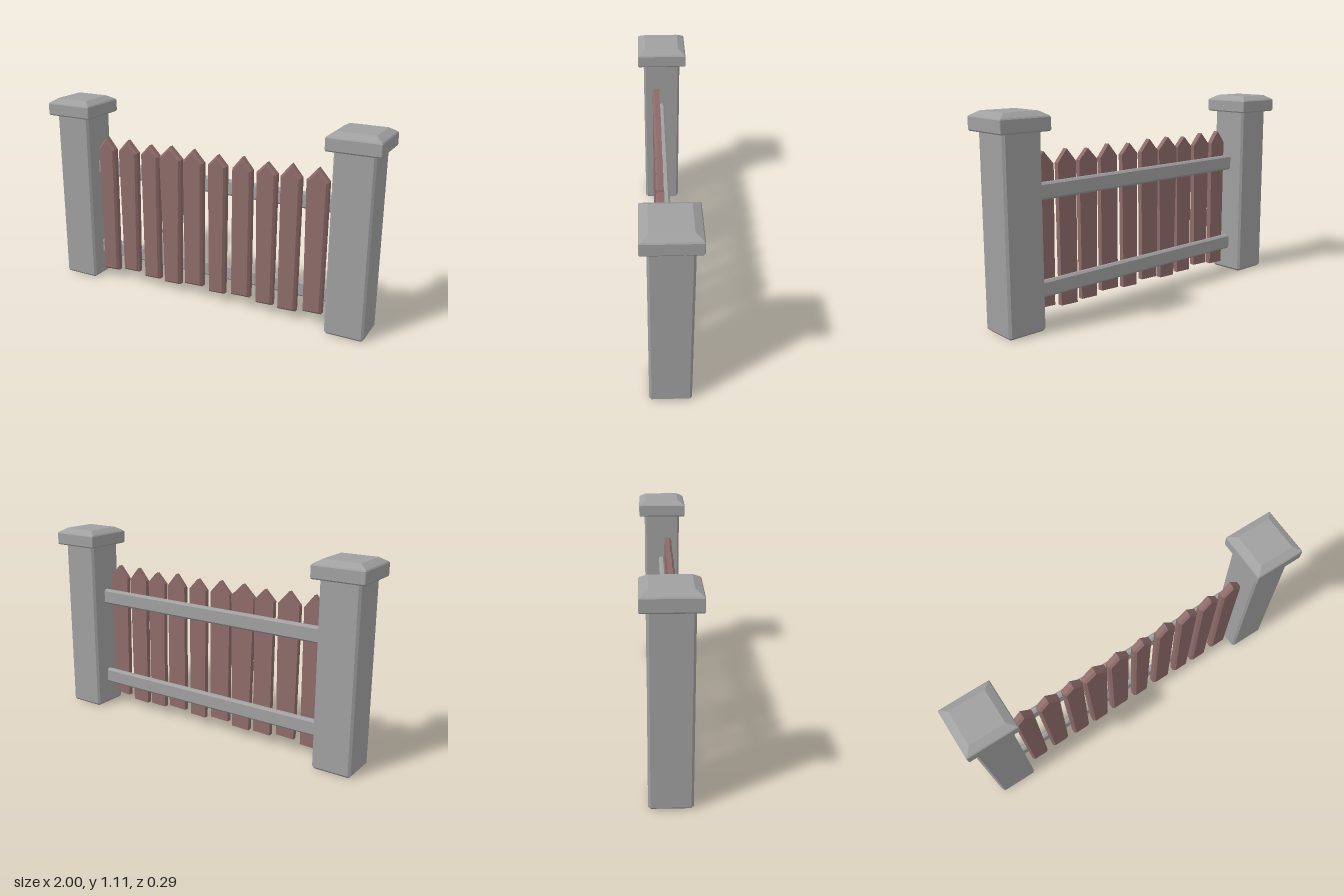
import * as THREE from 'three';

// Joins rings { z, pts } of equal counter-clockwise convex outlines along +z, with flat ends.
function loft(rings) {
  const pos = [];
  const v = (r, i) => {
    const p = rings[r].pts[i % rings[r].pts.length];
    pos.push(p[0], p[1], rings[r].z);
  };
  const n = rings[0].pts.length, last = rings.length - 1;
  for (let r = 0; r < last; r++) {
    for (let i = 0; i < n; i++) {
      v(r, i); v(r, i + 1); v(r + 1, i + 1);
      v(r, i); v(r + 1, i + 1); v(r + 1, i);
    }
  }
  for (let i = 1; i < n - 1; i++) {
    v(0, 0); v(0, i + 1); v(0, i);
    v(last, 0); v(last, i); v(last, i + 1);
  }
  const g = new THREE.BufferGeometry();
  g.setAttribute('position', new THREE.Float32BufferAttribute(pos, 3));
  g.computeVertexNormals();
  return g;
}

// Rectangle with chamfered corners
function chamfered(hw, hh, c) {
  return [
    [hw, -hh + c], [hw, hh - c], [hw - c, hh], [-hw + c, hh],
    [-hw, hh - c], [-hw, -hh + c], [-hw + c, -hh], [hw - c, -hh],
  ];
}

export function createModel() {
  const model = new THREE.Group();
  model.name = 'fence';
  const stone = new THREE.MeshStandardMaterial({ color: 0xa0a0a0 });
  stone.name = 'grey stone';
  const wood = new THREE.MeshStandardMaterial({ color: 0x8e6c6a });
  wood.name = 'reddish wood';

  function add(name, geometry, material) {
    const mesh = new THREE.Mesh(geometry, material);
    mesh.name = name;
    model.add(mesh);
    return mesh;
  }

  // Posts and their caps: [half width, corner chamfer, height]
  const upright = (steps) => loft(steps.map(([h, c, z]) => ({ z, pts: chamfered(h, h, c) }))).rotateX(-Math.PI / 2);
  const postGeo = upright([[0.098, 0.004, 0], [0.109, 0.012, 0.012], [0.109, 0.012, 1.02]]);
  const capGeo = upright([[0.138, 0.002, 1.008], [0.143, 0.003, 1.015], [0.143, 0.003, 1.076], [0.138, 0.003, 1.083], [0.1, 0.002, 1.106]]);
  for (const [side, x] of [['left', 0.857], ['right', -0.857]]) {
    add(side + 'Post', postGeo, stone).position.x = x;
    add(side + 'PostCap', capGeo, stone).position.x = x;
  }

  // Rails between the posts
  const railPts = chamfered(0.018, 0.045, 0.011);
  const railGeo = loft([{ z: -0.76, pts: railPts }, { z: 0.76, pts: railPts }]).rotateY(Math.PI / 2);
  for (const [name, y] of [['lowerRail', 0.181], ['upperRail', 0.692]]) {
    add(name, railGeo, stone).position.set(0, y, -0.002);
  }

  // Pointed pickets: [shoulder left, shoulder right, foot left, foot right, foot y, tip y]
  const pickets = [
    [-0.72, -0.607, -0.716, -0.612, 0.05, 0.89],
    [-0.58, -0.452, -0.57, -0.463, 0.07, 0.89],
    [-0.425, -0.308, -0.42, -0.313, 0.055, 0.88],
    [-0.302, -0.158, -0.281, -0.174, 0.05, 0.89],
    [-0.147, -0.019, -0.142, -0.024, 0.07, 0.89],
    [0.013, 0.126, 0.019, 0.12, 0.055, 0.88],
    [0.163, 0.28, 0.163, 0.28, 0.07, 0.89],
    [0.307, 0.425, 0.318, 0.42, 0.055, 0.88],
    [0.447, 0.564, 0.452, 0.559, 0.05, 0.89],
    [0.591, 0.714, 0.602, 0.709, 0.07, 0.89],
  ];
  pickets.forEach(([sl, sr, fl, fr, foot, tip], i) => {
    const outline = (d) => [
      [fl + d, foot + d], [fr - d, foot + 0.004 + d], [sr - d, 0.82 - d * 0.4],
      [(sl + sr) / 2, tip - d * 1.4], [sl + d, 0.82 - d * 0.4],
    ];
    const geo = loft([
      { z: 0.015, pts: outline(0) },
      { z: 0.044, pts: outline(0) },
      { z: 0.057, pts: outline(0.012) },
    ]);
    add('picket' + (i + 1), geo, wood);
  });

  return model;
}
